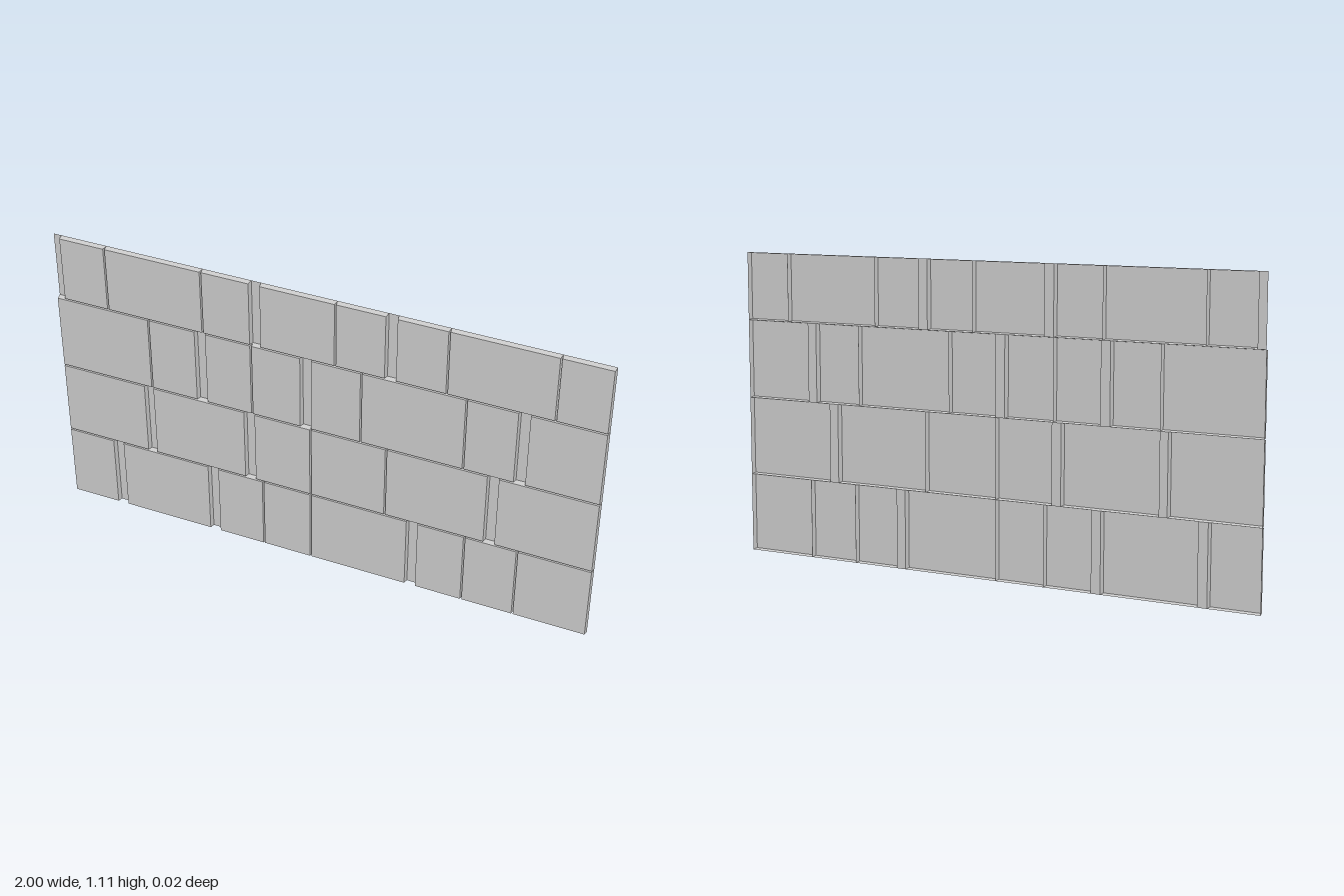
import * as THREE from 'three';

const DEPTH = 0.02;   // how far the tiles stand out from the seam floor
const BEVEL = 0.003;  // draft of the tile walls

const material = new THREE.MeshStandardMaterial({ color: 0xcccccc, side: THREE.DoubleSide });

// Each course: bottom, top, tile spans [left, right] from x = -1 to x = 1.
// Spans that do not touch leave a wide recessed strip between them.
const courses = [
  { y0: 0, y1: 0.287, tiles: [[-1, -0.815], [-0.78, -0.43], [-0.395, -0.215], [-0.215, -0.03],
    [-0.03, 0.335], [0.37, 0.545], [0.545, 0.735], [0.735, 1]] },
  { y0: 0.287, y1: 0.573, tiles: [[-1, -0.67], [-0.64, -0.28], [-0.245, -0.03], [-0.03, 0.25],
    [0.25, 0.615], [0.65, 1]] },
  { y0: 0.573, y1: 0.86, tiles: [[-1, -0.64], [-0.64, -0.46], [-0.425, -0.25], [-0.25, -0.065],
    [-0.03, 0.155], [0.155, 0.525], [0.525, 0.705], [0.74, 1]] },
  { y0: 0.86, y1: 1.107, tiles: [[-0.97, -0.795], [-0.795, -0.43], [-0.43, -0.25], [-0.215, 0.06],
    [0.06, 0.24], [0.275, 0.455], [0.455, 0.825], [0.825, 1]] },
];

// Hollow tile: flat face with slightly drafted walls, open at the back
function makeTile(x0, x1, y0, y1) {
  const w = x1 - x0, h = y1 - y0;
  const box = new THREE.BoxGeometry(w, h, DEPTH);
  const p = box.attributes.position;
  for (let i = 0; i < p.count; i++) {
    if (p.getZ(i) > 0) {
      p.setX(i, p.getX(i) * (1 - 2 * BEVEL / w));
      p.setY(i, p.getY(i) * (1 - 2 * BEVEL / h));
    }
  }
  // the last six indices are the back face
  box.setIndex(Array.from(box.index.array).slice(0, 30));
  box.clearGroups();
  const geometry = box.toNonIndexed();
  geometry.computeVertexNormals();
  const mesh = new THREE.Mesh(geometry, material);
  mesh.position.set((x0 + x1) / 2, (y0 + y1) / 2, 0);
  mesh.name = 'tile';
  return mesh;
}

// Floor of a wide joint between two tiles
function makeJoint(x0, x1, y0, y1) {
  const mesh = new THREE.Mesh(new THREE.PlaneGeometry(x1 - x0, y1 - y0), material);
  mesh.position.set((x0 + x1) / 2, (y0 + y1) / 2, -DEPTH / 2);
  mesh.name = 'recessedJoint';
  return mesh;
}

export function createModel() {
  const panel = new THREE.Group();
  panel.name = 'sidingPanel';
  courses.forEach(({ y0, y1, tiles }, i) => {
    const course = new THREE.Group();
    course.name = `course${i + 1}`;
    let end = -1;
    for (const [x0, x1] of tiles) {
      if (x0 > end) course.add(makeJoint(end, x0, y0, y1));
      course.add(makeTile(x0, x1, y0, y1));
      end = x1;
    }
    panel.add(course);
  });
  return panel;
}
